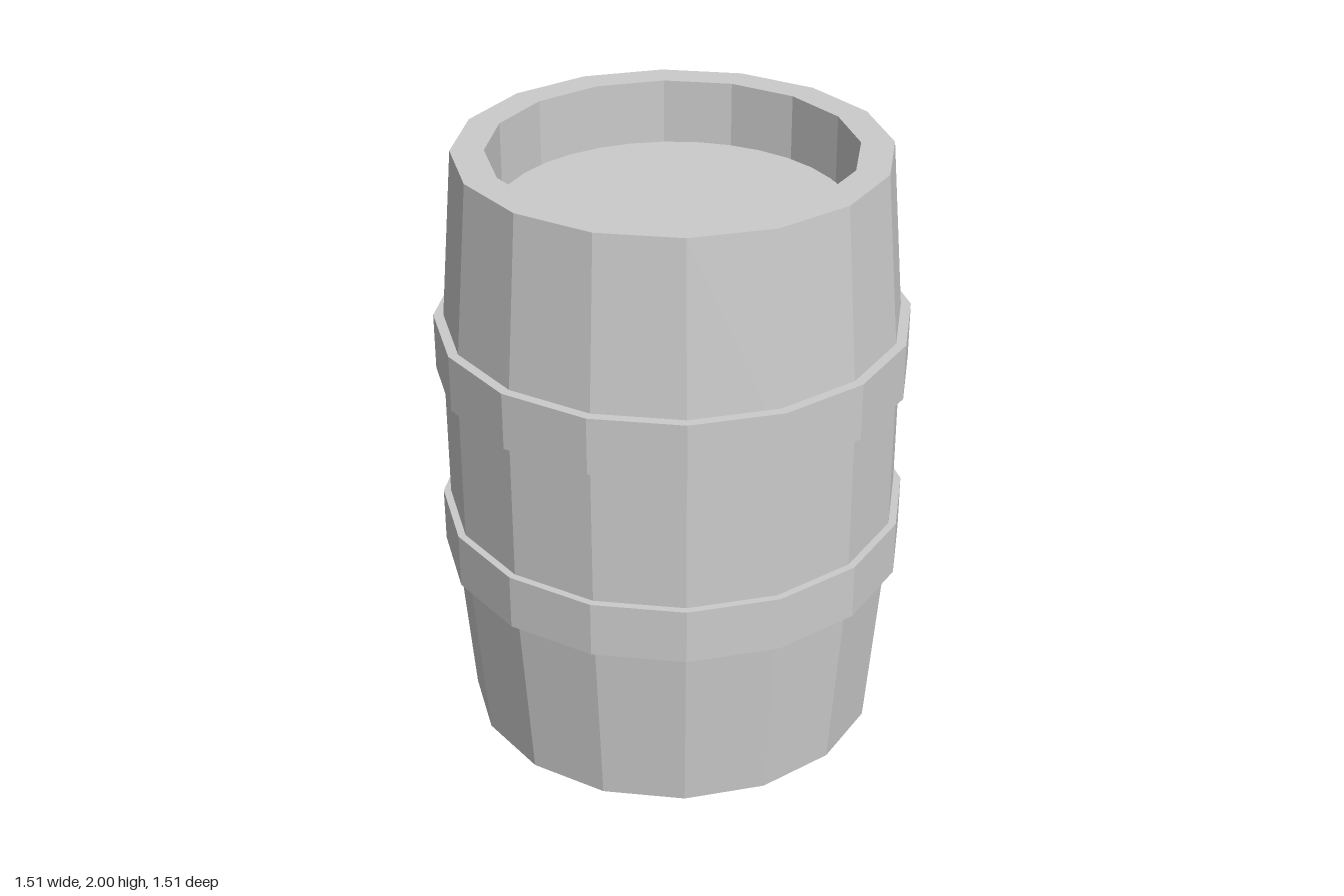
import * as THREE from 'three';

const SIDES = 16;
const material = new THREE.MeshStandardMaterial({ color: 0xcccccc, flatShading: true });

// Revolve [distance to flat face, height] pairs into a 16-sided solid with flats facing the axes
function faceted(name, profile) {
  const toCorner = 1 / Math.cos(Math.PI / SIDES);
  const points = profile.map(([r, y]) => new THREE.Vector2(r * toCorner, y));
  const mesh = new THREE.Mesh(new THREE.LatheGeometry(points, SIDES, Math.PI / SIDES), material);
  mesh.name = name;
  return mesh;
}

export function createModel() {
  const barrel = new THREE.Group();
  barrel.name = 'barrel';

  // Bulging staves, flat rim and recessed top
  barrel.add(faceted('staves', [
    [0, 0], [0.677, 0], [0.731, 0.69], [0.731, 1.345],
    [0.677, 2], [0.573, 2], [0.573, 1.775], [0, 1.775],
  ]));

  // Round lid set down inside the rim
  const lid = new THREE.Mesh(new THREE.CylinderGeometry(0.566, 0.566, 0.03, 32), material);
  lid.name = 'lid';
  lid.position.y = 1.775;
  barrel.add(lid);

  // Two hoops around the belly
  for (const [name, low, high] of [['lowerHoop', 0.6, 0.785], ['upperHoop', 1.25, 1.44]]) {
    barrel.add(faceted(name, [[0.71, low], [0.755, low], [0.755, high], [0.71, high]]));
  }
  return barrel;
}
